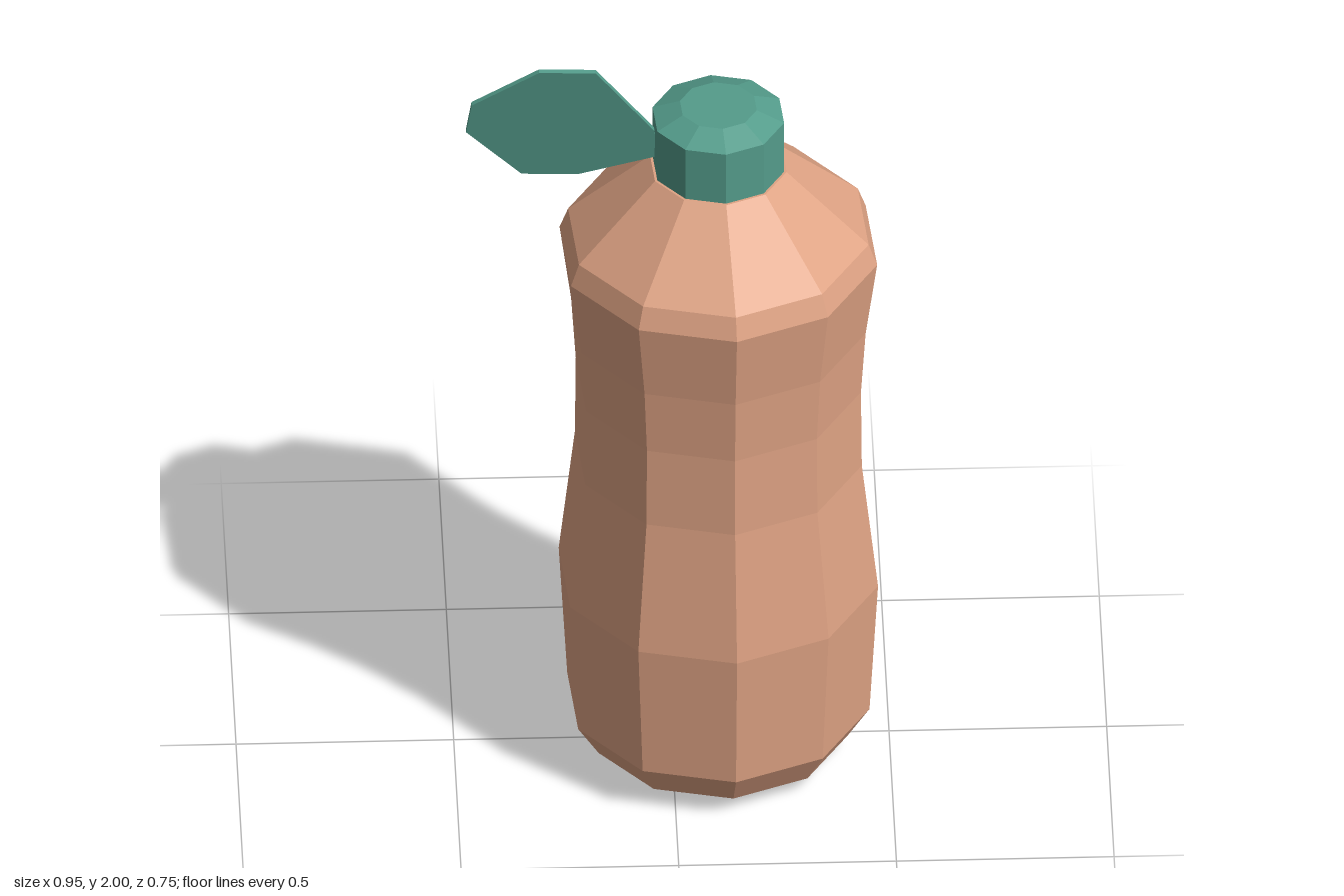
import * as THREE from 'three';

const SIDES = 10;
const TURN = 0.081; // slight twist of the ten-sided body
const AXIS_X = 0.108; // bottle axis, offset so bottle plus open lid is centred

// Faceted turned solid from [radius, height] pairs, bottom to top
function facetedLathe(profile) {
  const points = profile.map(([r, y]) => new THREE.Vector2(r, y));
  const geometry = new THREE.LatheGeometry(points, SIDES, TURN).toNonIndexed();
  geometry.computeVertexNormals();
  return geometry;
}

function addPart(group, name, geometry, material, x = 0) {
  const mesh = new THREE.Mesh(geometry, material);
  mesh.name = name;
  mesh.position.x = x;
  group.add(mesh);
}

export function createModel() {
  const group = new THREE.Group();
  group.name = 'squeezeBottle';

  const peach = new THREE.MeshStandardMaterial({ color: 0xdfa384 });
  peach.name = 'peachPlastic';
  const teal = new THREE.MeshStandardMaterial({ color: 0x549c8b });
  teal.name = 'tealPlastic';

  // Waisted body with a chamfered base and sloping shoulders
  addPart(group, 'body', facetedLathe([
    [0, 0], [0.21, 0], [0.302, 0.04], [0.354, 0.125], [0.374, 0.48],
    [0.336, 0.82], [0.334, 1.03], [0.345, 1.2], [0.372, 1.4],
    [0.352, 1.455], [0.16, 1.635], [0, 1.635],
  ]), peach, AXIS_X);

  // Short cap with a bevelled top
  addPart(group, 'cap', facetedLathe([
    [0, 1.63], [0.154, 1.63], [0.154, 1.775], [0.09, 1.802], [0, 1.802],
  ]), teal, AXIS_X);

  // Open lid: thin plate outline, sheared onto a tilted plane
  const outline = [
    [-0.03, 1.66], [-0.04, 1.75], [-0.177, 1.976], [-0.308, 2.0],
    [-0.463, 1.912], [-0.475, 1.82], [-0.346, 1.652], [-0.215, 1.628],
  ];
  const shape = new THREE.Shape(outline.map(([x, y]) => new THREE.Vector2(x, y)));
  const lid = new THREE.ExtrudeGeometry(shape, { depth: 0.014, bevelEnabled: false });
  const pos = lid.attributes.position;
  for (let i = 0; i < pos.count; i++) {
    const x = pos.getX(i);
    const y = pos.getY(i);
    pos.setZ(i, pos.getZ(i) - 0.435 - 0.154 * x + 0.25 * y);
  }
  lid.computeVertexNormals();
  addPart(group, 'flipLid', lid, teal);

  return group;
}
